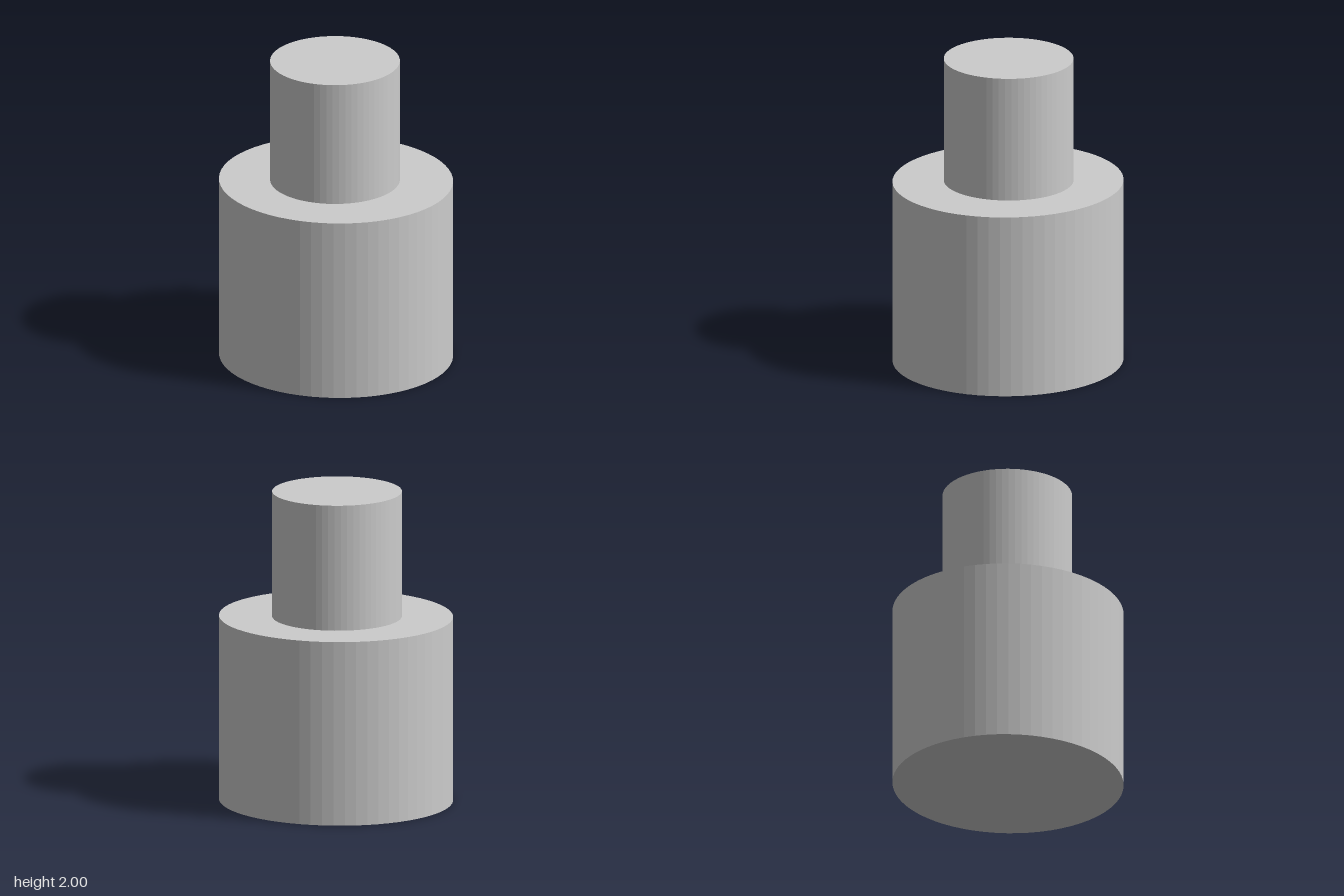
import * as THREE from 'three';

const SEGMENTS = 64;

// Upright elliptical drum standing on height y0
function drum(name, rx, rz, y0, y1, x) {
  const geometry = new THREE.CylinderGeometry(1, 1, y1 - y0, SEGMENTS);
  geometry.scale(rx, 1, rz);
  const material = new THREE.MeshStandardMaterial({ color: 0xcccccc, flatShading: true });
  const mesh = new THREE.Mesh(geometry, material);
  mesh.name = name;
  mesh.position.set(x, (y0 + y1) / 2, 0);
  return mesh;
}

export function createModel() {
  const group = new THREE.Group();
  group.name = 'steppedCylinder';
  group.add(
    drum('base', 0.748, 0.723, 0, 1.19, 0), // wide, slightly oval body
    drum('neck', 0.41, 0.41, 1.19, 2, -0.008), // narrow round top, slightly off centre
  );
  return group;
}
